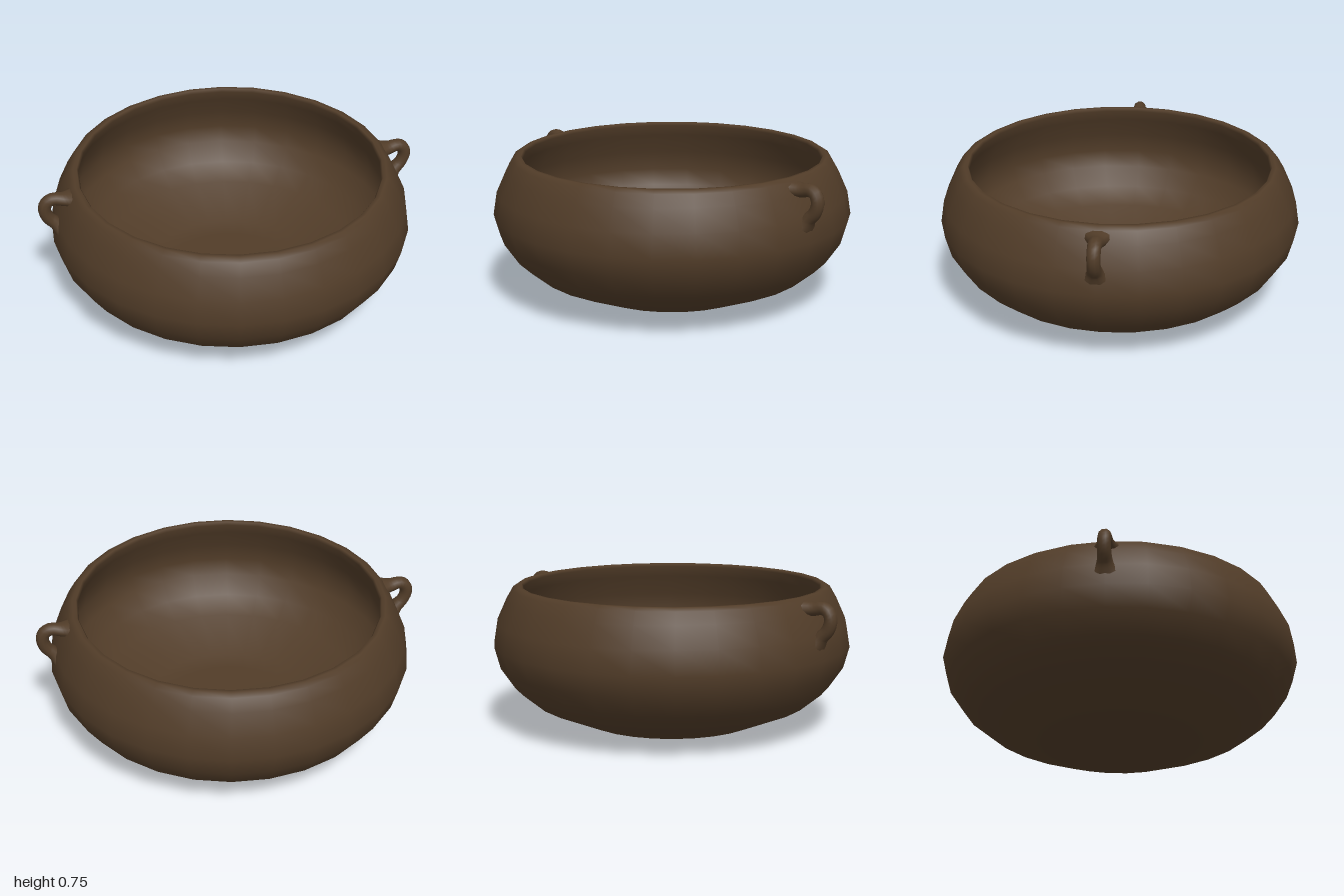
import * as THREE from 'three';

const brown = new THREE.MeshStandardMaterial({ color: 0x513c28 });
brown.name = 'dark brown clay';

// Loop handle lying in the xy plane, flared where it joins the wall
function makeHandle() {
  const path = new THREE.CatmullRomCurve3([
    [0.825, 0.693], [0.875, 0.694], [0.925, 0.702], [0.958, 0.682],
    [0.968, 0.64], [0.95, 0.592], [0.918, 0.558], [0.89, 0.51],
  ].map(([x, y]) => new THREE.Vector3(x, y, 0)));
  const rings = 20, sides = 10, radius = 0.033;
  const geometry = new THREE.TubeGeometry(path, rings, radius, sides);
  const pos = geometry.attributes.position;
  const centre = new THREE.Vector3(), p = new THREE.Vector3();
  for (let i = 0; i < pos.count; i++) {
    const t = Math.floor(i / (sides + 1)) / rings;
    const flare = Math.pow(Math.abs(2 * t - 1), 4);
    path.getPointAt(t, centre);
    p.fromBufferAttribute(pos, i).sub(centre);
    p.z *= 1 + 1.3 * flare;
    p.x *= 1 + 0.15 * flare;
    p.y *= 1 + 0.15 * flare;
    p.add(centre);
    pos.setXYZ(i, p.x, p.y, p.z);
  }
  geometry.computeVertexNormals();
  // Share normals across the tube's seam
  const n = geometry.attributes.normal;
  for (let r = 0; r <= rings; r++) {
    const a = r * (sides + 1), b = a + sides;
    p.fromBufferAttribute(n, a).add(centre.fromBufferAttribute(n, b)).normalize();
    n.setXYZ(a, p.x, p.y, p.z);
    n.setXYZ(b, p.x, p.y, p.z);
  }
  return new THREE.Mesh(geometry, brown);
}

export function createModel() {
  const group = new THREE.Group();
  group.name = 'handledBowl';

  // Bowl: outer wall from the foot to the rim, then down the inside
  const profile = [
    [0, 0], [0.36, 0.002], [0.46, 0.022], [0.72, 0.13], [0.83, 0.22],
    [0.905, 0.33], [0.935, 0.44], [0.915, 0.56], [0.865, 0.67], [0.83, 0.73],
    [0.805, 0.746], [0.785, 0.745], [0.776, 0.73], [0.8, 0.67],
    [0.85, 0.56], [0.875, 0.45], [0.85, 0.36], [0.78, 0.265],
    [0.68, 0.185], [0.44, 0.085], [0.34, 0.064], [0, 0.06],
  ].map(([r, y]) => new THREE.Vector2(r, y));
  const bowl = new THREE.Mesh(new THREE.LatheGeometry(profile, 28), brown);
  bowl.name = 'bowl';
  group.add(bowl);

  // One small handle on each side
  const left = makeHandle();
  left.name = 'leftHandle';
  const right = makeHandle();
  right.name = 'rightHandle';
  right.rotation.y = Math.PI;
  group.add(left, right);

  return group;
}
